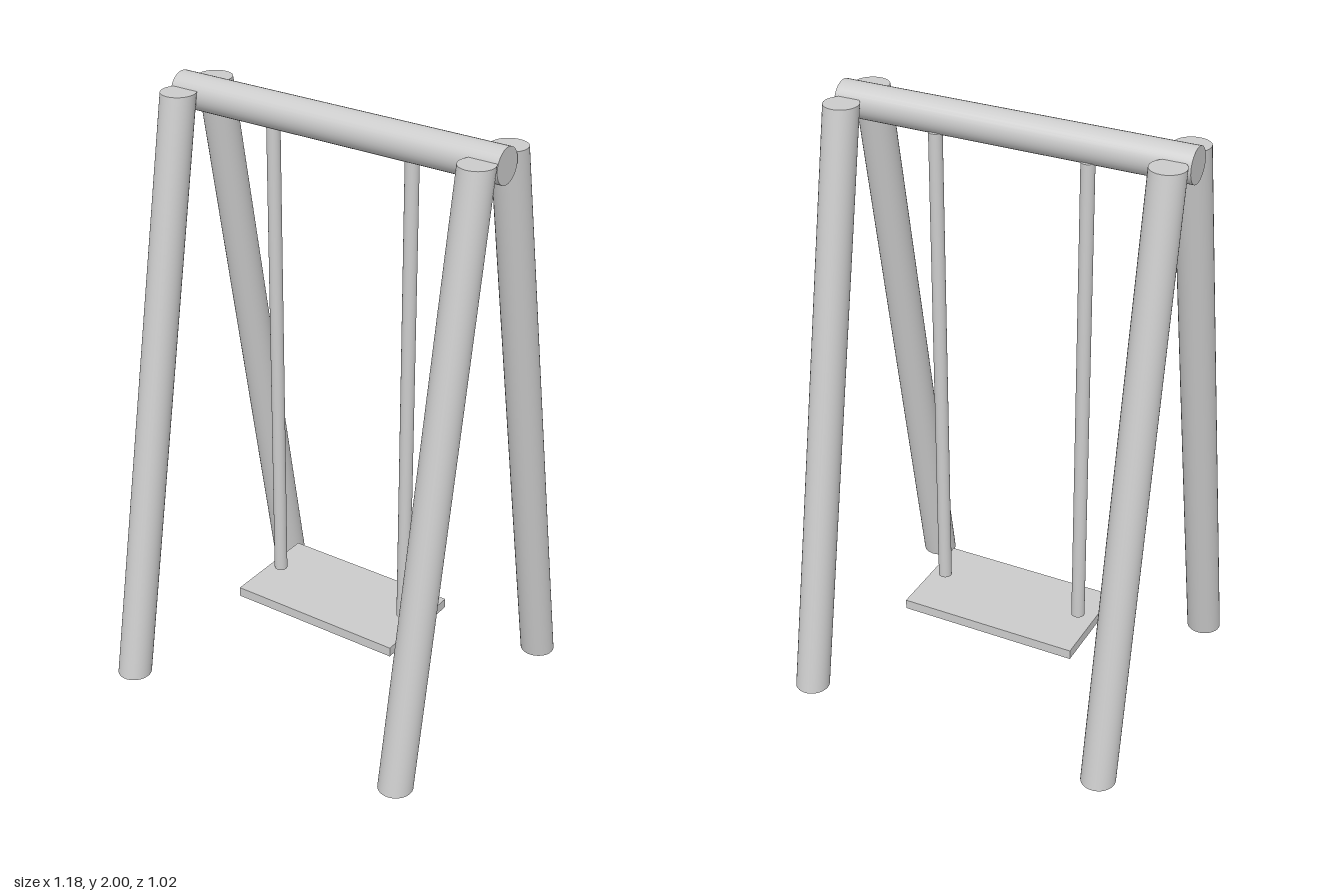
import * as THREE from 'three';

const material = new THREE.MeshStandardMaterial({ color: 0xcccccc });

function addMesh(parent, name, geometry, x, y, z) {
  const mesh = new THREE.Mesh(geometry, material);
  mesh.name = name;
  mesh.position.set(x, y, z);
  parent.add(mesh);
  return mesh;
}

// Post leaning along z, with level circular ends (a sheared cylinder)
function leaningPost(radius, height, bottomZ, topZ) {
  const geometry = new THREE.CylinderGeometry(radius, radius, height, 32);
  geometry.translate(0, height / 2, 0);
  const shear = new THREE.Matrix4().makeShear(0, 0, 0, (topZ - bottomZ) / height, 0, 0);
  // Keep the slope in the row for z and the column for y
  shear.identity();
  shear.elements[6] = (topZ - bottomZ) / height;
  return geometry.applyMatrix4(shear);
}

export function createModel() {
  const swing = new THREE.Group();
  swing.name = 'swing';

  // A-frame legs
  for (const [sideName, x] of [['left', 0.531], ['right', -0.532]]) {
    for (const [endName, s] of [['Front', 1], ['Back', -1]]) {
      addMesh(swing, sideName + endName + 'Leg',
        leaningPost(0.057, 1.965, 0.452 * s, 0.091 * s), x, 0, 0.452 * s);
    }
  }

  // Top beam
  const beam = new THREE.CylinderGeometry(0.057, 0.057, 1.165, 32).rotateZ(Math.PI / 2);
  addMesh(swing, 'topBeam', beam, -0.002, 1.943, 0.006);

  // Hanging rods, ending just above the seat
  for (const [name, x] of [['leftRod', 0.248], ['rightRod', -0.255]]) {
    addMesh(swing, name, new THREE.CylinderGeometry(0.022, 0.022, 1.63, 24), x, 1.085, -0.021);
  }

  // Seat board
  addMesh(swing, 'seat', new THREE.BoxGeometry(0.613, 0.033, 0.341), -0.002, 0.238, -0.026);

  return swing;
}
